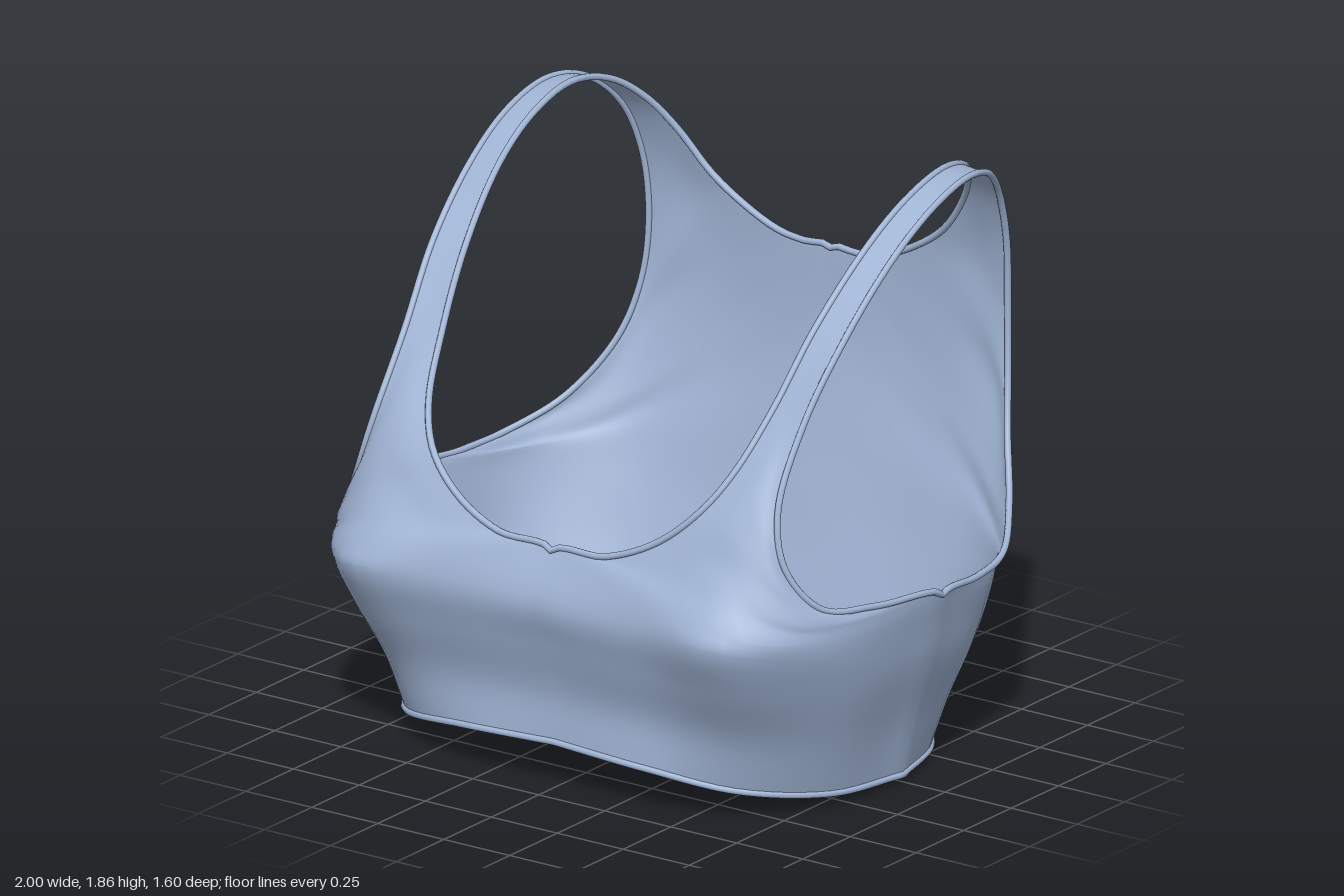
import * as THREE from 'three';
import { mergeGeometries, mergeVertices } from 'three/addons/utils/BufferGeometryUtils.js';

// Cross-sections of the left half, each running from the centre or neckline out to the
// side seam or armhole, as x, y, z triples. They go up the front, over the strap, down the back.
const frontBody = [
  [0, .15, .67, .35, .135, .67, .62, .09, .57, .79, .045, .32, .84, .025, 0],
  [0, .3, .67, .35, .29, .67, .65, .27, .62, .84, .22, .36, .88, .22, 0],
  [0, .48, .72, .38, .46, .725, .7, .45, .71, .9, .42, .42, .945, .43, 0],
  [0, .62, .755, .38, .61, .765, .68, .62, .8, .8, .6, .72, .93, .56, .46, .97, .55, 0],
  [0, .78, .685, .36, .73, .735, .68, .68, .775, .81, .65, .71, .93, .63, .48, .99, .645, 0],
];
const frontStrap = [
  [.2, .8, .68, .45, .79, .7, .68, .76, .72, .84, .7, .64, .92, .68, .5, .95, .685, .3],
  [.37, .87, .655, .55, .87, .665, .72, .84, .66, .84, .77, .6, .89, .72, .5],
  [.5, .98, .61, .64, .96, .625, .76, .91, .61, .81, .85, .575],
  [.575, 1.1, .53, .68, 1.08, .55, .765, 1.02, .555],
  [.625, 1.28, .39, .755, 1.26, .41],
  [.66, 1.5, .22, .78, 1.5, .22],
  [.69, 1.7, 0, .795, 1.69, 0],
  [.7, 1.81, -.2, .8, 1.8, -.2],
  [.695, 1.855, -.4, .79, 1.845, -.4],
];
const backStrap = [
  [.665, 1.82, -.56, .76, 1.81, -.56],
  [.61, 1.74, -.665, .715, 1.7, -.68],
  [.54, 1.63, -.735, .69, 1.52, -.755],
  [.44, 1.5, -.77, .55, 1.43, -.785, .68, 1.3, -.775],
  [.33, 1.42, -.782, .5, 1.3, -.785, .695, 1.1, -.755],
  [.2, 1.36, -.786, .45, 1.2, -.785, .65, 1.03, -.755, .74, .92, -.69],
  [.1, 1.345, -.787, .45, 1.08, -.775, .7, .87, -.7, .84, .75, -.56],
];
const backBody = [
  [0, 1.342, -.787, .4, .98, -.765, .7, .76, -.66, .88, .68, -.5, .945, .66, -.38],
  [0, 1.1, -.775, .4, .85, -.74, .7, .68, -.64, .9, .62, -.43, .98, .645, -.2],
  [0, .78, -.715, .4, .68, -.69, .68, .6, -.61, .9, .58, -.4, .99, .645, 0],
  [0, .58, -.665, .4, .52, -.65, .67, .48, -.57, .88, .47, -.38, .97, .55, 0],
  [0, .42, -.625, .4, .39, -.61, .66, .36, -.53, .86, .36, -.34, .945, .43, 0],
  [0, .2, -.565, .4, .2, -.55, .62, .18, -.48, .8, .19, -.3, .88, .22, 0],
  [0, .015, -.54, .35, .012, -.53, .58, .012, -.46, .75, .018, -.27, .84, .025, 0],
];
const sections = [...frontBody, ...frontStrap, ...backStrap, ...backBody];

const STEPS = 5;        // subdivisions between neighbouring sections
const ACROSS = 24;      // subdivisions along each section
const LAST = (sections.length - 1) * STEPS;
const FRONT_TOP = 4 * STEPS;            // where the front centre and side seam end
const BACK_NECK = LAST - 6 * STEPS;     // where the back centre begins
const BACK_SIDE = LAST - 4 * STEPS;     // where the back side seam begins

// Smooth grid of points through all the sections
function halfGrid() {
  const rows = sections.map((s) => {
    const points = [];
    for (let i = 0; i < s.length; i += 3) points.push(new THREE.Vector3(s[i], s[i + 1], s[i + 2]));
    return new THREE.CatmullRomCurve3(points).getSpacedPoints(ACROSS);
  });
  const columns = [];
  for (let j = 0; j <= ACROSS; j++) {
    columns.push(new THREE.CatmullRomCurve3(rows.map((r) => r[j])).getPoints(LAST));
  }
  const grid = [];
  for (let i = 0; i <= LAST; i++) {
    grid.push(columns.map((c) => {
      const p = c[i];
      p.x = Math.max(p.x, 0);
      if (i <= FRONT_TOP || i >= BACK_NECK) {
        if (p === c[i] && c === columns[0]) p.x = 0;
      }
      if (i <= FRONT_TOP) p.z = Math.max(p.z, 0);
      if (i >= BACK_SIDE) p.z = Math.min(p.z, 0);
      return p;
    }));
  }
  // Front and back share the side seam
  for (let i = BACK_SIDE; i <= LAST; i++) grid[i][ACROSS].copy(grid[LAST - i][ACROSS]);
  return grid;
}

// One half of the cloth; side is 1 for left, -1 for right
function clothHalf(grid, side) {
  const positions = [];
  const index = [];
  const width = ACROSS + 1;
  for (const row of grid) for (const p of row) positions.push(p.x * side, p.y, p.z);
  for (let i = 0; i < LAST; i++) {
    for (let j = 0; j < ACROSS; j++) {
      const a = i * width + j, b = a + 1, c = a + width, d = c + 1;
      if (side > 0) index.push(a, b, c, b, d, c);
      else index.push(a, c, b, b, c, d);
    }
  }
  const geometry = new THREE.BufferGeometry();
  geometry.setAttribute('position', new THREE.Float32BufferAttribute(positions, 3));
  geometry.setIndex(index);
  return geometry;
}

const flip = (p) => new THREE.Vector3(-p.x, p.y, p.z);

export function createModel() {
  const model = new THREE.Group();
  model.name = 'croppedTop';
  const fabric = new THREE.MeshStandardMaterial({ color: 0xa0b4d4, side: THREE.DoubleSide });
  fabric.name = 'blue fabric';

  const add = (name, geometry) => {
    const mesh = new THREE.Mesh(geometry, fabric);
    mesh.name = name;
    model.add(mesh);
  };

  // Cloth body with both straps
  const grid = halfGrid();
  const cloth = mergeVertices(mergeGeometries([clothHalf(grid, 1), clothHalf(grid, -1)]), 1e-4);
  cloth.computeVertexNormals();
  add('body', cloth);

  // Rolled edges
  const piping = (name, points) => {
    const curve = new THREE.CatmullRomCurve3(points, true);
    add(name, new THREE.TubeGeometry(curve, 180, 0.011, 8, true));
  };
  const neck = grid.slice(FRONT_TOP, BACK_NECK + 1).map((r) => r[0]);
  piping('necklineEdge', [...neck, ...neck.slice(1, -1).reverse().map(flip)]);

  const armhole = grid.slice(FRONT_TOP, BACK_SIDE).map((r) => r[ACROSS]);
  piping('leftArmholeEdge', armhole);
  piping('rightArmholeEdge', armhole.map(flip));

  const hem = [...grid[0], ...grid[LAST].slice(0, -1).reverse()];
  piping('hemEdge', [...hem, ...hem.slice(1, -1).reverse().map(flip)]);

  return model;
}
